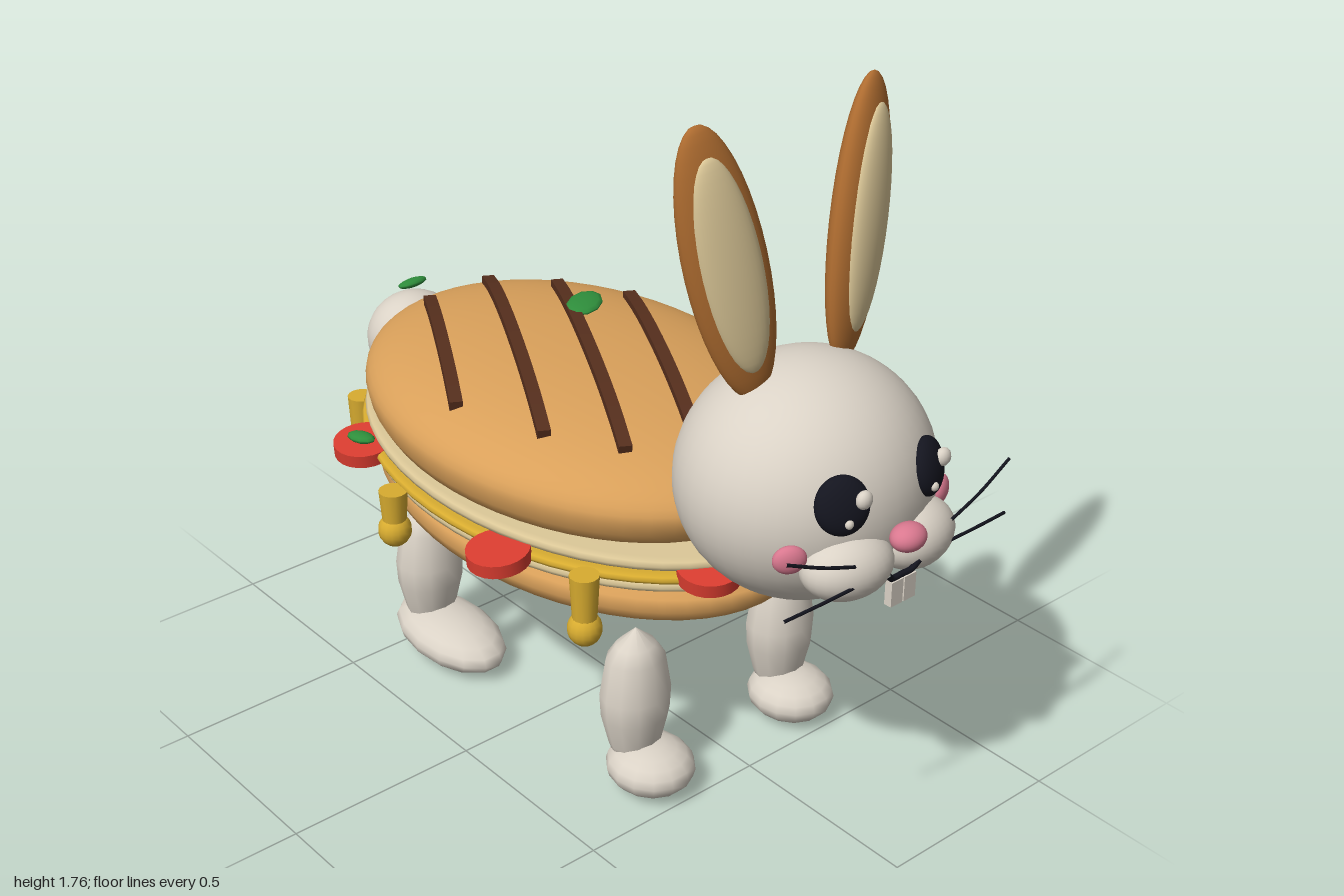
import * as THREE from 'three';

const paint = (name, color) => Object.assign(new THREE.MeshStandardMaterial({ color }), { name });
const fur = paint('fur', 0xdad2c6);
const bun = paint('toasted bun', 0xd9a05a);
const char = paint('grill brown', 0x562f1d);
const earBrown = paint('ear brown', 0xae6c30);
const cream = paint('cream', 0xdcc898);
const mustard = paint('mustard', 0xd8ac30);
const red = paint('tomato red', 0xdb3d30);
const green = paint('leaf green', 0x2f8f3c);
const pink = paint('pink', 0xd9788f);
const dark = paint('dark', 0x14151f);

const BUN_Z = -0.145, BUN_X = 0.48, BUN_L = 0.655;

function add(parent, name, geometry, material, pos = [0, 0, 0], rot = [0, 0, 0]) {
  const m = new THREE.Mesh(geometry, material);
  m.name = name;
  m.position.set(...pos);
  m.rotation.set(...rot);
  parent.add(m);
  return m;
}

// Ellipsoid with the given half sizes
function ball(parent, name, material, pos, radii, rot, seg = 28) {
  const g = new THREE.SphereGeometry(1, seg, Math.round(seg * 0.7));
  g.scale(...radii);
  return add(parent, name, g, material, pos, rot);
}

function group(parent, name) {
  const g = new THREE.Group();
  g.name = name;
  parent.add(g);
  return g;
}

// Oval slab: unit-radius profile of [radius, y], stretched in x and z
function oval(parent, name, material, profile, hx, hz, z) {
  const g = new THREE.LatheGeometry(profile.map(p => new THREE.Vector2(...p)), 56);
  g.scale(hx, 1, hz);
  return add(parent, name, g, material, [0, 0, z]);
}

// Height of the upper bun's crown at normalised radius r
const crown = r => 0.77 + 0.15 * Math.pow(Math.max(0, 1 - Math.pow(r, 2.2)), 1 / 2.2);
const bunTop = (x, z) => crown(Math.hypot(x / BUN_X, (z - BUN_Z) / BUN_L));

function buildSandwich(root) {
  const pivot = group(root, 'sandwichBody');
  pivot.position.set(0, 0.66, BUN_Z);
  pivot.rotation.x = 0.025;
  const body = group(pivot, 'sandwichLayers');
  body.position.set(0, -0.66, -BUN_Z);

  // Buns
  const top = [[0, 0.685], [0.88, 0.685], [0.95, 0.705], [0.985, 0.735]];
  for (let i = 0; i <= 16; i++) {
    const r = Math.cos(i / 16 * Math.PI / 2);
    top.push([i === 16 ? 0 : r, crown(r)]);
  }
  oval(body, 'topBun', bun, top, BUN_X, BUN_L, BUN_Z);
  oval(body, 'bottomBun', bun, [[0, 0.405], [0.25, 0.41], [0.5, 0.424], [0.72, 0.449], [0.88, 0.48],
    [0.965, 0.512], [1, 0.545], [0.985, 0.575], [0.93, 0.597], [0.85, 0.605], [0, 0.605]], 0.457, 0.665, -0.115);

  // Fillings
  const slab = (name, mat, y0, y1, hx, hz) => {
    const h = (y1 - y0) / 2, m = (y0 + y1) / 2;
    oval(body, name, mat, [[0, y0], [0.97, y0], [0.992, m - h * 0.6], [1, m], [0.992, m + h * 0.6], [0.97, y1], [0, y1]],
      hx, hz, -0.125);
  };
  slab('lowerFilling', cream, 0.603, 0.636, 0.478, 0.682);
  slab('mustardLayer', mustard, 0.634, 0.662, 0.494, 0.696);
  slab('upperFilling', cream, 0.664, 0.7, 0.482, 0.69);

  // Grill marks following the crown
  const square = new THREE.Shape([[-1, -1], [1, -1], [1, 1], [-1, 1]].map(p => new THREE.Vector2(p[0] * 0.016, p[1] * 0.016)));
  [[-0.38, -0.16, -0.09, -0.67], [-0.31, 0.09, 0.105, -0.675], [-0.205, 0.26, 0.205, -0.505],
    [-0.08, 0.39, 0.315, -0.34], [0.12, 0.38, 0.37, -0.09]].forEach(([x0, z0, x1, z1]) => {
    const pts = [];
    for (let i = 0; i <= 8; i++) {
      const x = x0 + (x1 - x0) * i / 8, z = z0 + (z1 - z0) * i / 8;
      pts.push(new THREE.Vector3(x, bunTop(x, z) + 0.004, z));
    }
    add(body, 'grillMark', new THREE.ExtrudeGeometry(square,
      { steps: 18, bevelEnabled: false, extrudePath: new THREE.CatmullRomCurve3(pts) }), char);
  });
}

function buildToppings(root) {
  // Tomato slices
  [[0.435, 0.665, 0.28, 0.12, -0.1], [0.48, 0.655, -0.3, 0.05, -0.05], [0.15, 0.655, -0.755, -0.1, 0.1],
    [-0.44, 0.655, -0.475, 0.05, 0.1], [-0.485, 0.645, 0.14, 0, 0.1], [-0.16, 0.645, 0.51, 0.1, 0.08]].forEach(([x, y, z, rx, rz]) =>
    add(root, 'tomatoSlice', new THREE.CylinderGeometry(0.077, 0.077, 0.034, 22), red, [x, y, z], [rx, 0, rz]));

  // Leaves
  [[0.14, 0.935, -0.305, 0.072, 0.045, 0.6], [0.495, 0.675, -0.305, 0.055, 0.026, 1.3],
    [-0.445, 0.677, -0.48, 0.04, 0.025, 1.9], [0.035, 0.803, -0.925, 0.05, 0.026, 0.2]].forEach(([x, y, z, a, b, yaw]) =>
    ball(root, 'leaf', green, [x, y, z], [a, 0.012, b], [z < -0.9 ? -0.25 : 0, yaw, 0], 10));

  // Mustard drips
  [[0.275, 0.49, 0.54], [0.515, -0.1, 0.48], [0.4, -0.57, 0.522],
    [-0.29, -0.71, 0.485], [-0.51, -0.25, 0.54], [-0.395, 0.345, 0.505]].forEach(([x, z, y]) => {
    const drip = group(root, 'mustardDrip');
    const h = 0.65 - y;
    add(drip, 'dripStem', new THREE.CylinderGeometry(0.036, 0.028, h, 14), mustard, [x, y + h / 2, z]);
    ball(drip, 'dripEnd', mustard, [x, y, z], [0.042, 0.044, 0.042], [0, 0, 0], 16);
  });
}

function buildLegs(root) {
  const leg = new THREE.LatheGeometry([[0, 0.05], [0.045, 0.07], [0.06, 0.12], [0.077, 0.2], [0.08, 0.26], [0.066, 0.36],
    [0.045, 0.395], [0, 0.44]].map(p => new THREE.Vector2(...p)), 12);
  leg.scale(1.15, 1, 1);
  for (const s of [1, -1]) {
    add(root, 'frontLeg', leg, fur, [s * 0.24, 0, 0.345]);
    ball(root, 'frontFoot', fur, [s * 0.235, 0.07, 0.397], [0.107, 0.064, 0.114], [0, 0, 0], 14);
    add(root, 'hindLeg', leg, fur, [s * 0.268, 0, -0.46]);
    ball(root, 'hindFoot', fur, [s * 0.268, 0.07, -0.375], [0.112, 0.064, 0.192], [0.05, 0, 0], 14);
  }
}

function buildHead(root) {
  const head = group(root, 'head');
  ball(head, 'skull', fur, [0, 0.91, 0.645], [0.308, 0.286, 0.286], [0, 0, 0], 40);
  ball(head, 'nose', pink, [0, 0.886, 0.963], [0.045, 0.032, 0.037]);

  const line = (name, pts, r) => add(head, name, new THREE.TubeGeometry(
    new THREE.CatmullRomCurve3(pts.map(p => new THREE.Vector3(...p))), 12, r, 6), dark);

  for (const s of [1, -1]) {
    // Face
    ball(head, 'muzzle', fur, [s * 0.105, 0.822, 0.885], [0.112, 0.078, 0.083], [0, s * 0.2, 0]);
    ball(head, 'blush', pink, [s * 0.234, 0.863, 0.84], [0.039, 0.034, 0.02], [0, s * 0.5, 0], 18);
    ball(head, 'eye', dark, [s * 0.132, 0.98, 0.888], [0.063, 0.068, 0.032], [-0.25, s * 0.42, 0]);
    ball(head, 'largeEyeGlint', fur, [s * 0.132 + 0.024, 1.003, 0.919 - s * 0.01], [0.021, 0.022, 0.016], [0, 0, 0], 14);
    ball(head, 'smallEyeGlint', fur, [s * 0.128 - 0.014, 0.952, 0.925 + s * 0.003], [0.011, 0.011, 0.009], [0, 0, 0], 10);
    add(head, 'tooth', new THREE.BoxGeometry(0.036, 0.062, 0.02), fur, [s * 0.02, 0.75, 0.95]);
    line('smile', [[s * 0.05, 0.805, 0.955], [s * 0.03, 0.786, 0.951], [0, 0.785, 0.95]], 0.008);

    // Whiskers
    line('upperWhisker', [[s * 0.15, 0.865, 0.952], [s * 0.24, 0.898, 0.95], [s * 0.345, 0.943, 0.94]], 0.004);
    line('lowerWhisker', [[s * 0.15, 0.812, 0.952], [s * 0.24, 0.81, 0.95], [s * 0.345, 0.803, 0.94]], 0.004);

    // Ear
    const ear = group(head, 'ear');
    ear.position.set(s * 0.196, 1.447, 0.58);
    ear.rotation.set(-0.11, s * 0.25, s * -0.2, 'XZY');
    ball(ear, 'outerEar', earBrown, [0, 0, 0], [0.098, 0.328, 0.045]);
    ball(ear, 'innerEar', cream, [0, 0.005, 0.025], [0.073, 0.258, 0.031]);
  }
}

export function createModel() {
  const root = new THREE.Group();
  root.name = 'rabbitSandwich';
  buildSandwich(root);
  buildToppings(root);
  buildLegs(root);
  buildHead(root);
  ball(root, 'tail', fur, [0, 0.675, -0.87], [0.133, 0.126, 0.13]);
  return root;
}
